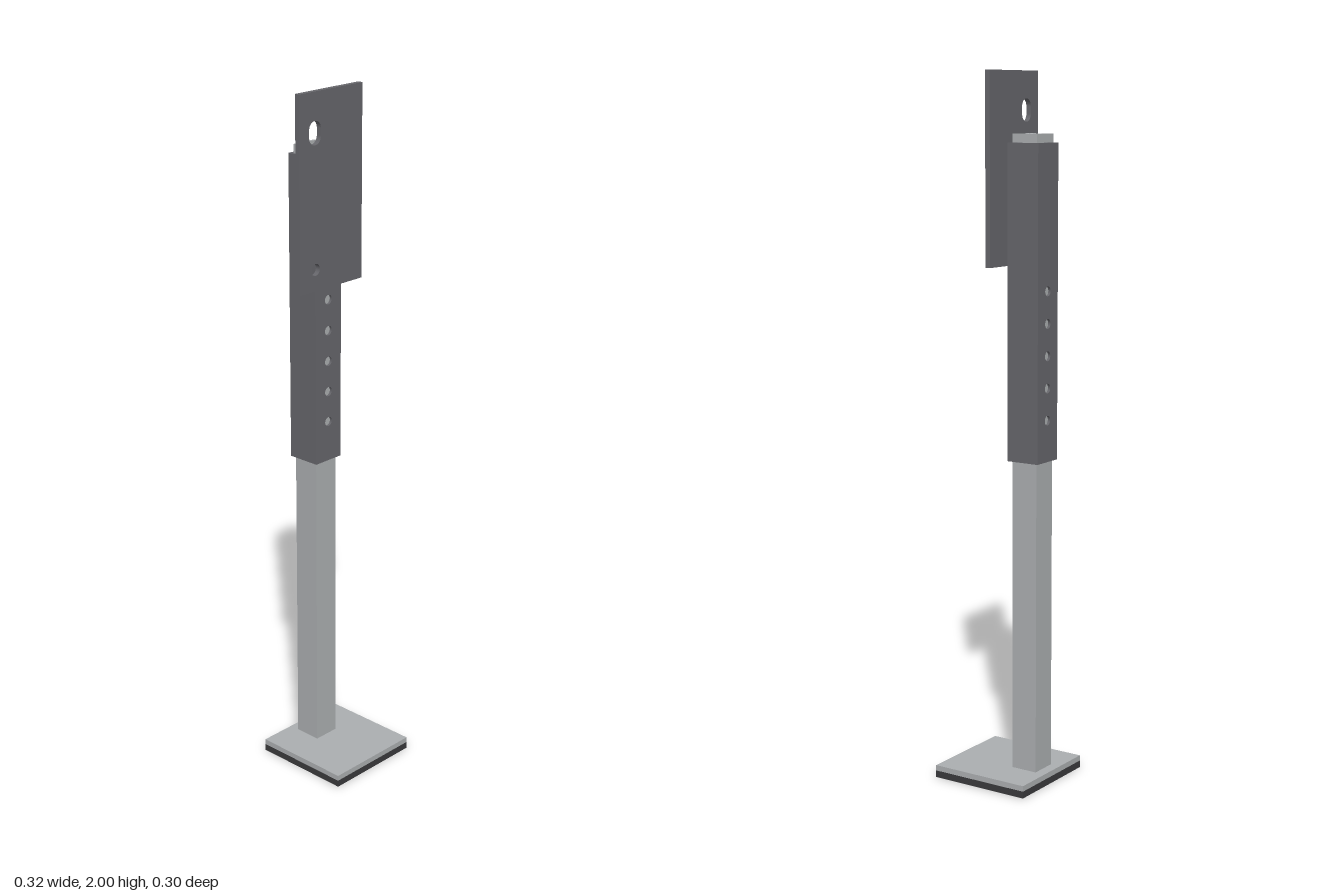
import * as THREE from 'three';

const steel = new THREE.MeshStandardMaterial({ color: 0xabaeb0 });
const darkSteel = new THREE.MeshStandardMaterial({ color: 0x66666b });
const rubber = new THREE.MeshStandardMaterial({ color: 0x3a3a3c });

// Centre of the foot and of the post
const CX = 0.01, POST_Z = -0.08;

function rect(path, x0, y0, x1, y1) {
  path.moveTo(x0, y0);
  path.lineTo(x1, y0);
  path.lineTo(x1, y1);
  path.lineTo(x0, y1);
  path.closePath();
  return path;
}

// Round hole, or a vertical slot when half is above zero
function slot(x, y, r, half = 0) {
  const path = new THREE.Path();
  path.absarc(x, y + half, r, 0, Math.PI, false);
  path.absarc(x, y - half, r, Math.PI, Math.PI * 2, false);
  path.closePath();
  return path;
}

function extrude(shape, depth) {
  return new THREE.ExtrudeGeometry(shape, { depth, bevelEnabled: false, curveSegments: 16 });
}

function add(parent, name, geometry, material, x = 0, y = 0, z = 0) {
  const mesh = new THREE.Mesh(geometry, material);
  mesh.name = name;
  mesh.position.set(x, y, z);
  parent.add(mesh);
  return mesh;
}

export function createModel() {
  const model = new THREE.Group();
  model.name = 'adjustableSupportLeg';

  // Foot: rubber pad under a steel plate
  add(model, 'footPad', new THREE.BoxGeometry(0.3, 0.02, 0.3), rubber, CX, 0.01, 0);
  add(model, 'footPlate', new THREE.BoxGeometry(0.3, 0.016, 0.3), steel, CX, 0.028, 0);

  // Inner square tube, hollow and open at the top
  const section = rect(new THREE.Shape(), -0.04, -0.04, 0.04, 0.04);
  section.holes.push(rect(new THREE.Path(), -0.032, -0.032, 0.032, 0.032));
  const inner = add(model, 'innerTube', extrude(section, 1.794), steel, CX, 0.036, POST_Z);
  inner.rotation.x = -Math.PI / 2;

  // Outer sleeve: drilled front and back walls, plain side walls
  const sleeve = new THREE.Group();
  sleeve.name = 'outerSleeve';
  sleeve.position.set(CX, 0, POST_Z);
  model.add(sleeve);
  const bottom = 0.93, top = 1.806, half = 0.05, wall = 0.0075;
  const face = rect(new THREE.Shape(), -half, bottom, half, top);
  for (let i = 0; i < 5; i++) face.holes.push(slot(0, 1.047 + i * 0.0895, 0.0135));
  const faceGeometry = extrude(face, wall);
  add(sleeve, 'sleeveFrontWall', faceGeometry, darkSteel, 0, 0, half - wall);
  add(sleeve, 'sleeveBackWall', faceGeometry, darkSteel, 0, 0, -half);
  const sideGeometry = new THREE.BoxGeometry(wall, top - bottom, 2 * (half - wall));
  for (const s of [-1, 1]) {
    add(sleeve, s > 0 ? 'sleeveLeftWall' : 'sleeveRightWall', sideGeometry, darkSteel,
      s * (half - wall / 2), (top + bottom) / 2, 0);
  }

  // Mounting plate with a slot above and a round hole below
  const plate = rect(new THREE.Shape(), -0.16, 1.466, 0.078, 2);
  plate.holes.push(slot(-0.102, 1.892, 0.022, 0.01), slot(-0.102, 1.525, 0.0165));
  add(model, 'mountingPlate', extrude(plate, 0.015), darkSteel, 0, 0, 0.015);

  return model;
}
